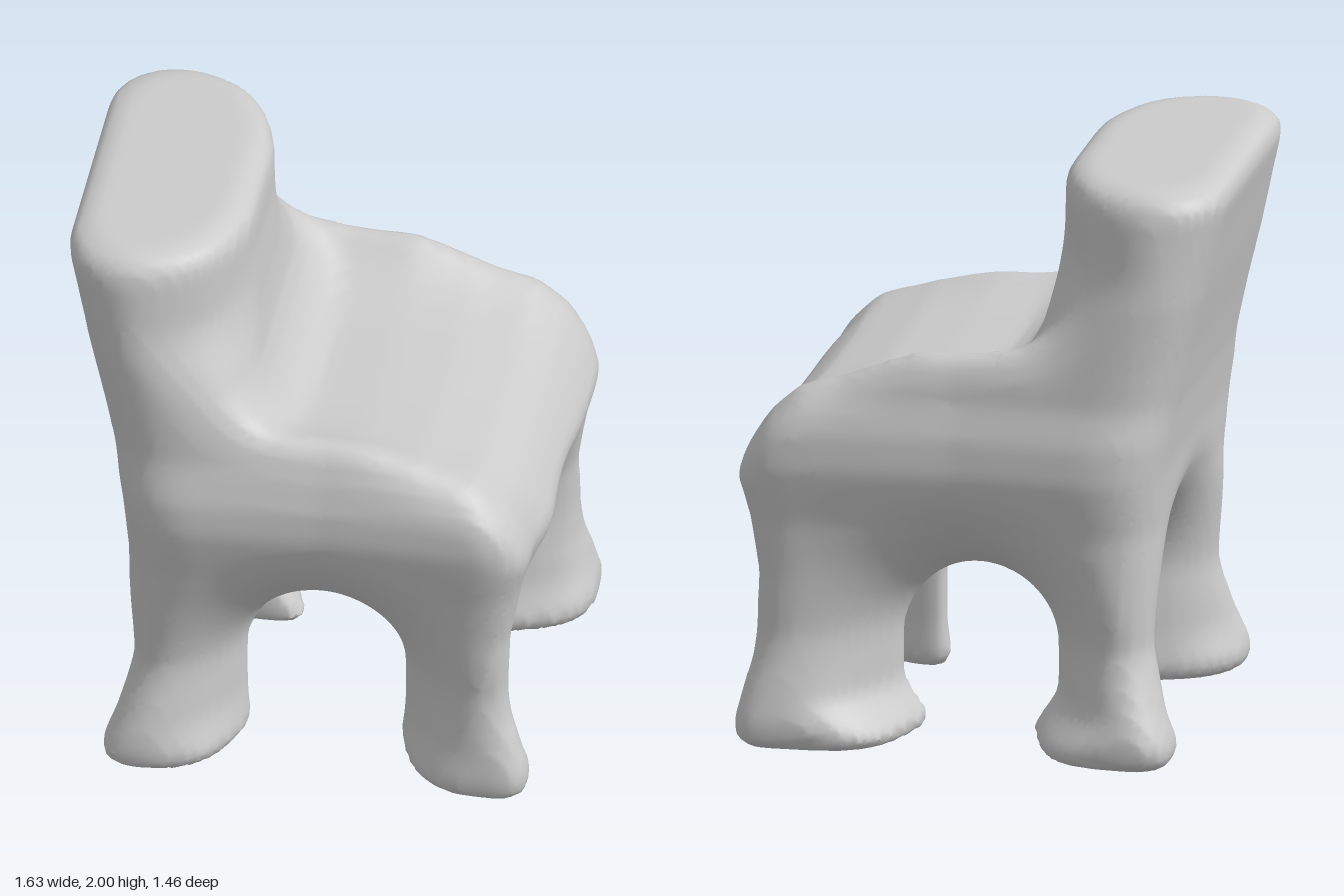
import * as THREE from 'three';

// ---- small helpers -------------------------------------------------------
const smax = (a, b, k) => {
  const h = Math.max(k - Math.abs(a - b), 0) / k;
  return Math.max(a, b) + h * h * k * 0.25;
};
const smin = (a, b, k) => -smax(-a, -b, k);
const step = (v, a, b) => THREE.MathUtils.smoothstep(v, a, b);

// piecewise-linear profile through [position, value] pairs
const profile = (...pts) => (t) => {
  if (t <= pts[0][0]) return pts[0][1];
  for (let i = 1; i < pts.length; i++) {
    const [a, va] = pts[i - 1], [b, vb] = pts[i];
    if (t <= b) return va + ((vb - va) * (t - a)) / (b - a);
  }
  return pts[pts.length - 1][1];
};

// ---- outlines of the chair, by height ------------------------------------
const rearX = profile([0, -0.67], [0.08, -0.67], [0.2, -0.635], [0.4, -0.605], [0.8, -0.6],
  [1, -0.615], [1.2, -0.645], [1.4, -0.69], [1.6, -0.74], [1.8, -0.785], [1.95, -0.82]);
const frontX = profile([0, 0.81], [0.1, 0.815], [0.3, 0.78], [0.6, 0.765], [0.8, 0.79],
  [0.93, 0.82], [1.05, 0.805], [1.2, 0.76]);
const sidePlusZ = profile([0, 0.69], [0.1, 0.69], [0.4, 0.675], [0.8, 0.71], [1, 0.735],
  [1.1, 0.73], [1.25, 0.69], [1.6, 0.67], [1.9, 0.64], [2, 0.62]);
const sideMinusZ = profile([0, 0.735], [0.1, 0.74], [0.4, 0.7], [0.8, 0.71], [1, 0.74],
  [1.12, 0.735], [1.25, 0.7], [1.6, 0.685], [1.9, 0.65], [2, 0.63]);
const backFaceX = profile([1.2, -0.1], [1.35, -0.13], [1.48, -0.18], [1.6, -0.2],
  [1.8, -0.218], [2, -0.22]);
const seatY = profile([-0.2, 1.29], [0, 1.27], [0.2, 1.26], [0.4, 1.24], [0.6, 1.19],
  [0.7, 1.12], [0.8, 1.0]);

// inner side of the backrest; its upright edges are bevelled towards the top
function backrest(x, y, z) {
  const reach = 0.08 + 0.24 * (1 - step(y, 1.3, 1.75));
  return smax(x - backFaceX(y), (x + 0.8 * Math.abs(z) - reach) * 0.78, 0.14);
}

// dished seat with raised side rims
function seat(x, y, z) {
  const rim = Math.min(Math.abs(z) / 0.6, 1) ** 4 * (z < 0 ? 0.16 : 0.08);
  return (y - seatY(x) - rim * (1 - 0.5 * step(x, 0.15, 0.5))) * 0.85;
}

// arch that widens towards its mouth and leaves blade-like legs at the corners
function arch(across, along, y, width, spring, toe) {
  const foot = 1 - step(y, 0, 0.2);
  const t = step(Math.abs(along), 0.27, 0.74);
  const w = width + t * (0.16 - 0.06 * foot) - toe * foot;
  return w - Math.hypot(across, Math.max(y - spring, 0));
}

// negative inside the chair, positive outside
function chair(x, y, z) {
  const upper = smin(backrest(x, y, z), seat(x, y, z), 0.13);
  // the walls draw in between the legs
  const low = step(y, 0.05, 0.35) * (1 - step(y, 0.6, 1.0));
  const dipZ = Math.max(1 - Math.abs(x - 0.07) / 0.72, 0) * (0.03 + 0.07 * low);
  const dipX = Math.max(1 - Math.abs(z) / 0.7, 0) * 0.06 * low + 0.045 * step(z, 0.25, 0.5);
  const sides = smax(z - sidePlusZ(y) + dipZ, -z - sideMinusZ(y) + dipZ, 0.05);
  let d = smax(rearX(y) - x, sides, 0.12 + 0.15 * step(y, 0.05, 0.4));
  d = smax(d, x - frontX(y) + dipX, 0.1 + 0.08 * step(y, 0.05, 0.4));
  d = smax(d, upper, 0.14);
  d = smax(d, y - 2, 0.1);
  const hollow = smax(
    arch(x - 0.045, z, y, 0.255, 0.335, z < 0 ? 0.09 : 0.01),
    arch(z - 0.005, x, y, 0.275, 0.365, 0), 0.08);
  d = smax(d, hollow, 0.2);
  return smax(d, 0.005 - y, 0.06);
}

// ---- skin a solid with an even quad net ----------------------------------
function skin(solid, min, max, cell) {
  const n = max.map((m, i) => Math.ceil((m - min[i]) / cell) + 1);
  const stride = [1, n[0], n[0] * n[1]];
  const at = (i, a) => min[a] + i * cell;
  const value = new Float32Array(n[0] * n[1] * n[2]);
  const each = (lo, trim, fn) => {
    for (let k = lo; k < n[2] - trim; k++)
      for (let j = lo; j < n[1] - trim; j++)
        for (let i = lo; i < n[0] - trim; i++) fn([i, j, k], i + j * stride[1] + k * stride[2]);
  };
  each(0, 0, (p, id) => { value[id] = solid(at(p[0], 0), at(p[1], 1), at(p[2], 2)); });

  // one vertex per cell crossed by the surface, at the mean of its edge crossings
  const vertex = new Int32Array(value.length).fill(-1);
  const position = [], index = [];
  each(0, 1, (p, id) => {
    const sum = [0, 0, 0];
    let count = 0;
    for (let c = 0; c < 8; c++) {
      const bits = [c & 1, (c >> 1) & 1, c >> 2];
      const from = id + bits[0] + bits[1] * stride[1] + bits[2] * stride[2];
      for (let a = 0; a < 3; a++) {
        if (bits[a]) continue;
        const v0 = value[from], v1 = value[from + stride[a]];
        if (v0 < 0 === v1 < 0) continue;
        for (let b = 0; b < 3; b++) sum[b] += bits[b] + (a === b ? v0 / (v0 - v1) : 0);
        count++;
      }
    }
    if (!count) return;
    vertex[id] = position.length / 3;
    for (let a = 0; a < 3; a++) position.push(at(p[a] + sum[a] / count, a));
  });

  // one quad around every crossed grid edge
  each(1, 1, (p, id) => {
    for (let a = 0; a < 3; a++) {
      const inside = value[id] < 0;
      if (inside === value[id + stride[a]] < 0) continue;
      const b = stride[(a + 1) % 3], c = stride[(a + 2) % 3];
      const q = [id, id - b, id - b - c, id - c].map((i) => vertex[i]);
      if (!inside) q.reverse();
      index.push(q[0], q[1], q[2], q[0], q[2], q[3]);
    }
  });

  const geometry = new THREE.BufferGeometry();
  geometry.setAttribute('position', new THREE.Float32BufferAttribute(position, 3));
  geometry.setIndex(index);
  geometry.computeVertexNormals();
  return geometry;
}

export function createModel() {
  const model = new THREE.Group();
  model.name = 'chair';
  // backrest, seat and four legs flow into one soft, continuous body
  const geometry = skin(chair, [-0.93, -0.1, -0.84], [0.93, 2.1, 0.84], 0.028);
  const body = new THREE.Mesh(geometry, new THREE.MeshStandardMaterial({ color: 0xcccccc }));
  body.name = 'chairBody';
  model.add(body);
  return model;
}
